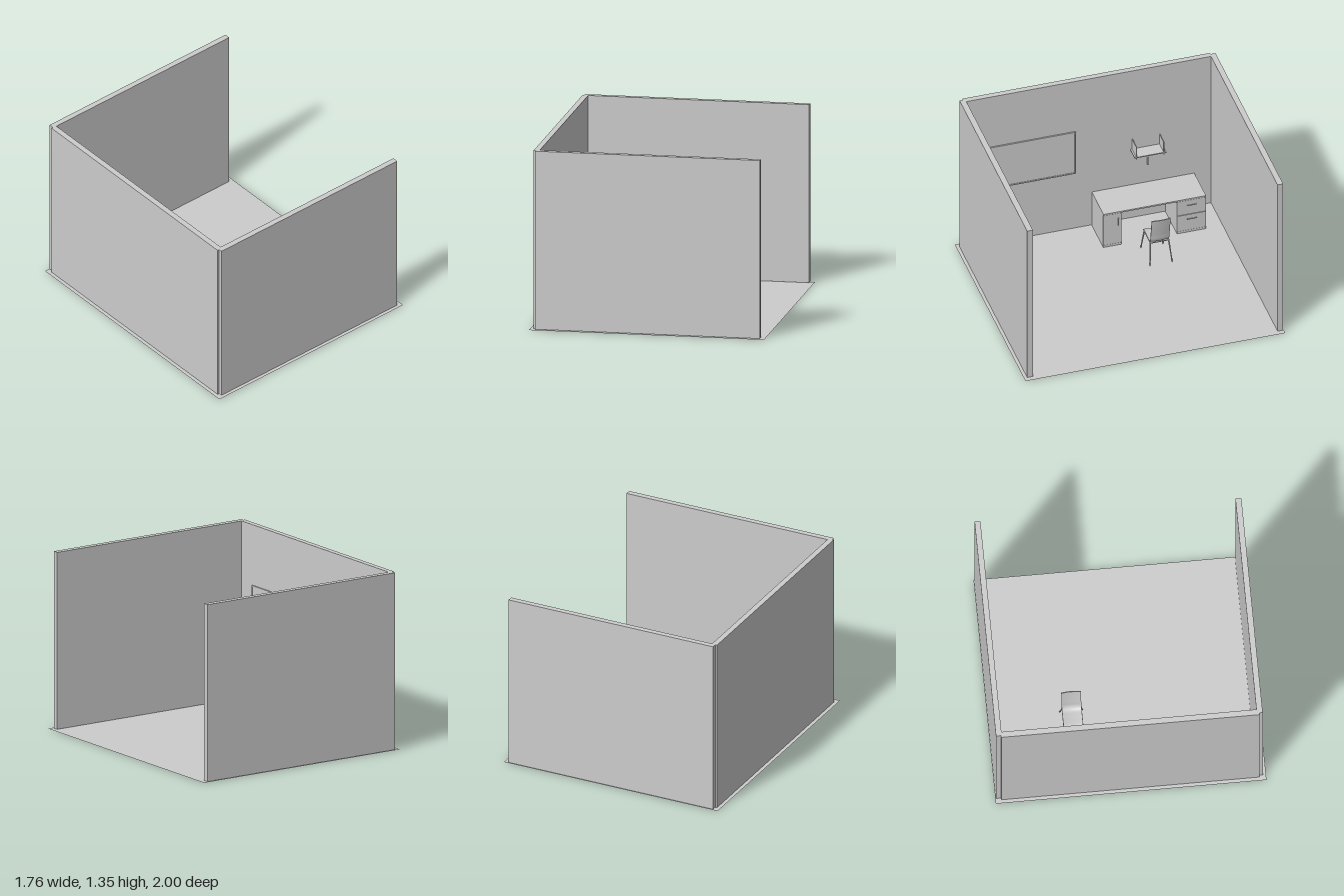
import * as THREE from 'three';

const grey = new THREE.MeshStandardMaterial({ color: 0xcccccc, side: THREE.DoubleSide });
grey.name = 'plain grey';

function add(parent, name, geometry) {
  const mesh = new THREE.Mesh(geometry, grey);
  mesh.name = name;
  parent.add(mesh);
  return mesh;
}

// Box given by its limits on each axis
function box(parent, name, [x0, x1], [y0, y1], [z0, z1]) {
  const mesh = add(parent, name, new THREE.BoxGeometry(x1 - x0, y1 - y0, z1 - z0));
  mesh.position.set((x0 + x1) / 2, (y0 + y1) / 2, (z0 + z1) / 2);
  return mesh;
}

function group(parent, name) {
  const g = new THREE.Group();
  g.name = name;
  parent.add(g);
  return g;
}

// Round bar between two points
function bar(parent, name, a, b, r0, r1 = r0) {
  const from = new THREE.Vector3(...a), to = new THREE.Vector3(...b);
  const dir = to.clone().sub(from);
  const mesh = add(parent, name, new THREE.CylinderGeometry(r1, r0, dir.length(), 12));
  mesh.position.copy(from).add(to).multiplyScalar(0.5);
  mesh.quaternion.setFromUnitVectors(new THREE.Vector3(0, 1, 0), dir.normalize());
}

function buildRoom(root) {
  const room = group(root, 'room');
  add(room, 'floor', new THREE.PlaneGeometry(1.76, 2)).rotation.x = -Math.PI / 2;
  box(room, 'backWall', [-0.84, 0.845], [0.003, 1.345], [-0.995, -0.952]);
  box(room, 'frontWall', [-0.84, 0.845], [0.003, 1.345], [0.932, 0.976]);
  box(room, 'sideWall', [-0.854, -0.811], [0.003, 1.345], [-0.957, 0.95]);
}

function buildBoard(root) {
  const board = group(root, 'wallBoard');
  box(board, 'boardPanel', [-0.811, -0.804], [0.512, 0.88], [0.095, 0.785]);
  for (const y of [0.507, 0.877])
    box(board, 'boardFrameRail', [-0.811, -0.8], [y, y + 0.01], [0.09, 0.79]);
  for (const z of [0.09, 0.78])
    box(board, 'boardFrameStile', [-0.811, -0.8], [0.507, 0.887], [z, z + 0.01]);
}

function buildShelf(root) {
  const shelf = group(root, 'wallShelf');
  box(shelf, 'shelfBoard', [-0.811, -0.702], [0.622, 0.63], [-0.575, -0.33]);
  for (const z of [-0.557, -0.346])
    box(shelf, 'shelfSide', [-0.811, -0.702], [0.61, 0.722], [z - 0.003, z + 0.003]);
  box(root, 'wallPlate', [-0.811, -0.8], [0.463, 0.528], [-0.468, -0.46]);
}

// Bar handle standing on two short posts
function handle(parent, y, z, length, upright) {
  const x = -0.511, h = length / 2;
  const ends = [-h, h].map(d => upright ? [y + d, z] : [y, z + d]);
  bar(parent, 'handleBar', [x, ...ends[0]], [x, ...ends[1]], 0.003);
  for (const [ey, ez] of ends)
    bar(parent, 'handlePost', [-0.52, ey, ez], [x, ey, ez], 0.003);
}

function buildDesk(root) {
  const desk = group(root, 'desk');
  box(desk, 'deskTop', [-0.808, -0.517], [0.294, 0.306], [-0.822, -0.033]);
  for (const [z0, z1] of [[-0.172, -0.033], [-0.822, -0.6]]) {
    box(desk, 'cabinetBody', [-0.808, -0.524], [0.018, 0.294], [z0, z1]);
    box(desk, 'plinth', [-0.808, -0.522], [0, 0.018], [z0, z1]);
  }
  box(desk, 'cabinetDoor', [-0.524, -0.518], [0.022, 0.292], [-0.171, -0.034]);
  handle(desk, 0.218, -0.147, 0.06, true);
  for (const [y0, y1, hy] of [[0.022, 0.162, 0.125], [0.166, 0.292, 0.25]]) {
    box(desk, 'drawerFront', [-0.524, -0.518], [y0, y1], [-0.821, -0.601]);
    handle(desk, hy, -0.713, 0.068, false);
  }
}

function buildChair(root) {
  const chair = group(root, 'chair');
  const zMid = -0.381;

  // Seat and back: one thin sheet bent along a side profile, slightly dished
  const profile = new THREE.CatmullRomCurve3([
    [-0.422, 0.178], [-0.39, 0.186], [-0.32, 0.182], [-0.265, 0.181],
    [-0.245, 0.2], [-0.235, 0.25], [-0.22, 0.33], [-0.208, 0.403],
  ].map(([x, y]) => new THREE.Vector3(x, y, 0)));
  const shell = new THREE.BoxGeometry(1, 0.007, 0.145, 32, 1, 10);
  const pos = shell.attributes.position;
  for (let i = 0; i < pos.count; i++) {
    const u = THREE.MathUtils.clamp(pos.getX(i) + 0.5, 0, 1), z = pos.getZ(i);
    const p = profile.getPointAt(u), t = profile.getTangentAt(u);
    const lift = pos.getY(i) + 0.006 * ((z / 0.0725) ** 2 - 1);
    pos.setXYZ(i, p.x - t.y * lift, p.y + t.x * lift, z + zMid);
  }
  shell.computeVertexNormals();
  add(chair, 'seatShell', shell);

  // Splayed legs with rails under the seat
  for (const s of [-1, 1]) {
    const zTop = zMid + s * 0.07, zFoot = zMid + s * 0.085;
    bar(chair, 'frontLeg', [-0.44, 0, zFoot], [-0.4, 0.178, zTop], 0.004, 0.006);
    bar(chair, 'rearLeg', [-0.207, 0, zFoot], [-0.25, 0.178, zTop], 0.004, 0.006);
    bar(chair, 'seatRail', [-0.4, 0.175, zTop], [-0.25, 0.175, zTop], 0.004);
  }
  for (const x of [-0.4, -0.25])
    bar(chair, 'crossRail', [x, 0.172, zMid - 0.07], [x, 0.172, zMid + 0.07], 0.004);
}

export function createModel() {
  const root = new THREE.Group();
  root.name = 'studyRoom';
  buildRoom(root);
  buildBoard(root);
  buildShelf(root);
  buildDesk(root);
  buildChair(root);
  return root;
}
